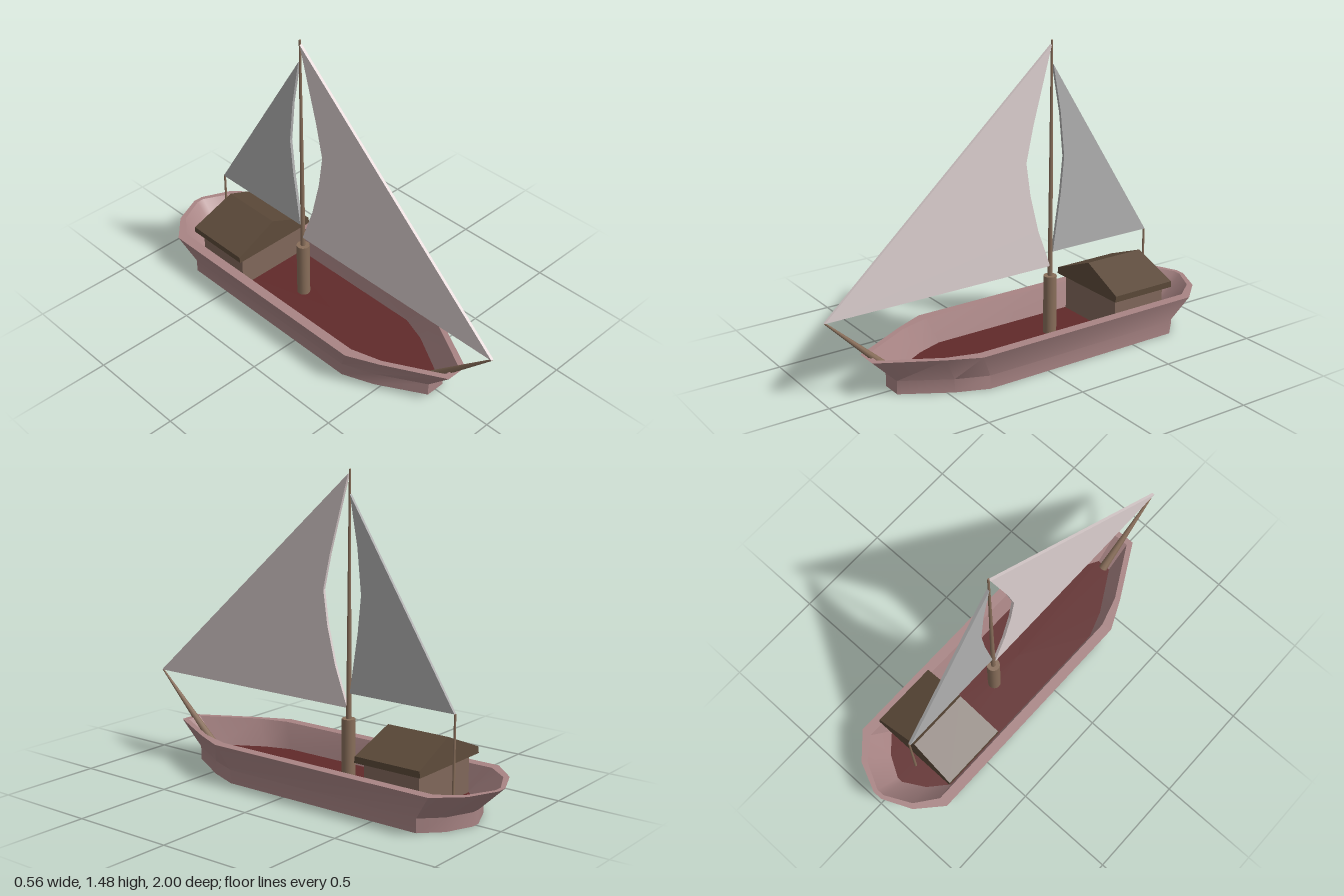
import * as THREE from 'three';
import { toCreasedNormals } from 'three/addons/utils/BufferGeometryUtils.js';

const paint = (color) => new THREE.MeshStandardMaterial({ color });
const HULL = paint(0xa88484), DECK = paint(0x602a2a), WOOD = paint(0x886e5a);
const CABIN = paint(0x80675a), ROOF = paint(0x5a4838);
const JIB = paint(0xdccfcf), MAIN = paint(0xb0b0b0);
const DECK_Y = 0.06, MAST_X = -0.006, MAST_Z = -0.185;

// Half outlines [x, z] from bow to stern on the +x side, with their height
const RINGS = [
  { y: 0, half: [[0.05, 0.69], [0.18, 0.47], [0.24, 0.32], [0.24, -0.73], [0.15, -0.82], [0.02, -0.875]] },
  { y: 0.065, half: [[0.05, 0.69], [0.18, 0.47], [0.24, 0.32], [0.24, -0.73], [0.15, -0.82], [0.02, -0.875]] },
  { y: 0.185, half: [[0.055, 0.81], [0.21, 0.53], [0.28, 0.38], [0.28, -0.815], [0.17, -0.935], [0.025, -1]] },
  { y: 0.185, half: [[0.04, 0.78], [0.185, 0.52], [0.23, 0.37], [0.23, -0.81], [0.15, -0.915], [0.02, -0.98]] },
  { y: DECK_Y, half: [[0.035, 0.66], [0.155, 0.45], [0.2, 0.32], [0.2, -0.71], [0.12, -0.8], [0.015, -0.86]] },
];

// Mirrors a half outline into a closed ring
function ringPoints({ y, half }) {
  const right = half.map(([x, z]) => [x, y, z]);
  const left = half.map(([x, z]) => [-x, y, z]).reverse();
  return [...right, ...left];
}

function triangles(list) {
  const g = new THREE.BufferGeometry();
  g.setAttribute('position', new THREE.Float32BufferAttribute(list.flat(), 3));
  g.computeVertexNormals();
  return g;
}

// Fan that closes a ring, facing up or down
function cap(ring, up) {
  const centre = [0, ring[0][1], 0];
  return ring.flatMap((p, i) => {
    const q = ring[(i + 1) % ring.length];
    return up ? [centre, p, q] : [centre, q, p];
  });
}

function hullGeometry() {
  const rings = RINGS.map(ringPoints);
  const tris = cap(rings[0], false);
  for (let r = 0; r < rings.length - 1; r++) {
    const lo = rings[r], hi = rings[r + 1];
    for (let i = 0; i < lo.length; i++) {
      const k = (i + 1) % lo.length;
      tris.push(lo[i], lo[k], hi[k], lo[i], hi[k], hi[i]);
    }
  }
  return toCreasedNormals(triangles(tris), 0.45);
}

// Gabled roof with its ridge slightly shorter than the eaves
function roofGeometry() {
  const s = new THREE.Shape([[-0.23, 0.24], [0.23, 0.24], [0.23, 0.27], [0, 0.365], [-0.23, 0.27]]
    .map(([x, y]) => new THREE.Vector2(x, y)));
  const g = new THREE.ExtrudeGeometry(s, { depth: 0.345, bevelEnabled: false });
  g.translate(0, 0, -0.1725);
  const p = g.attributes.position;
  for (let i = 0; i < p.count; i++) {
    p.setZ(i, p.getZ(i) * (1 - 0.08 * (p.getY(i) - 0.24) / 0.125));
  }
  g.translate(0, 0, -0.5675);
  g.computeVertexNormals();
  return g;
}

// Thin sail from [z, y] corners
function sailGeometry(points) {
  const s = new THREE.Shape(points.map(([z, y]) => new THREE.Vector2(-z, y)));
  const g = new THREE.ExtrudeGeometry(s, { depth: 0.014, bevelEnabled: false });
  return g.rotateY(Math.PI / 2).translate(MAST_X - 0.007, 0, 0);
}

export function createModel() {
  const boat = new THREE.Group();
  boat.name = 'sailboat';
  const add = (name, geometry, material) => {
    const m = new THREE.Mesh(geometry, material);
    m.name = name;
    boat.add(m);
    return m;
  };

  // Tapered round pole between two points
  const pole = (name, from, to, r0, r1, sides = 8) => {
    const a = new THREE.Vector3(...from), b = new THREE.Vector3(...to);
    const d = b.clone().sub(a);
    const m = add(name, new THREE.CylinderGeometry(r1, r0, d.length(), sides), WOOD);
    m.position.copy(a).add(b).multiplyScalar(0.5);
    m.quaternion.setFromUnitVectors(new THREE.Vector3(0, 1, 0), d.normalize());
  };

  // Hull and deck
  add('hull', hullGeometry(), HULL);
  add('deck', triangles(cap(ringPoints(RINGS[4]), true)), DECK);

  // Cabin
  const cabin = add('cabin', new THREE.BoxGeometry(0.39, 0.19, 0.29), CABIN);
  cabin.position.set(0, 0.15, -0.567);
  add('cabinRoof', roofGeometry(), ROOF);

  // Mast and spars
  pole('mastFoot', [MAST_X, DECK_Y, MAST_Z], [MAST_X, 0.35, MAST_Z], 0.032, 0.032, 16);
  pole('mast', [MAST_X, 0.34, MAST_Z], [MAST_X, 1.48, MAST_Z], 0.012, 0.005);
  pole('sternPole', [MAST_X, DECK_Y, -0.755], [MAST_X, 0.47, -0.755], 0.007, 0.005);
  pole('bowsprit', [MAST_X, DECK_Y, 0.645], [MAST_X, 0.398, 0.997], 0.022, 0.004);

  // Sails
  add('foreSail', sailGeometry([[1, 0.4], [-0.18, 1.46], [-0.08, 1.1], [-0.042, 0.93],
    [-0.065, 0.77], [-0.11, 0.59], [-0.18, 0.4]]), JIB);
  add('aftSail', sailGeometry([[-0.755, 0.47], [-0.195, 0.47], [-0.238, 0.755],
    [-0.255, 0.927], [-0.233, 1.14], [-0.19, 1.37]]), MAIN);

  return boat;
}
